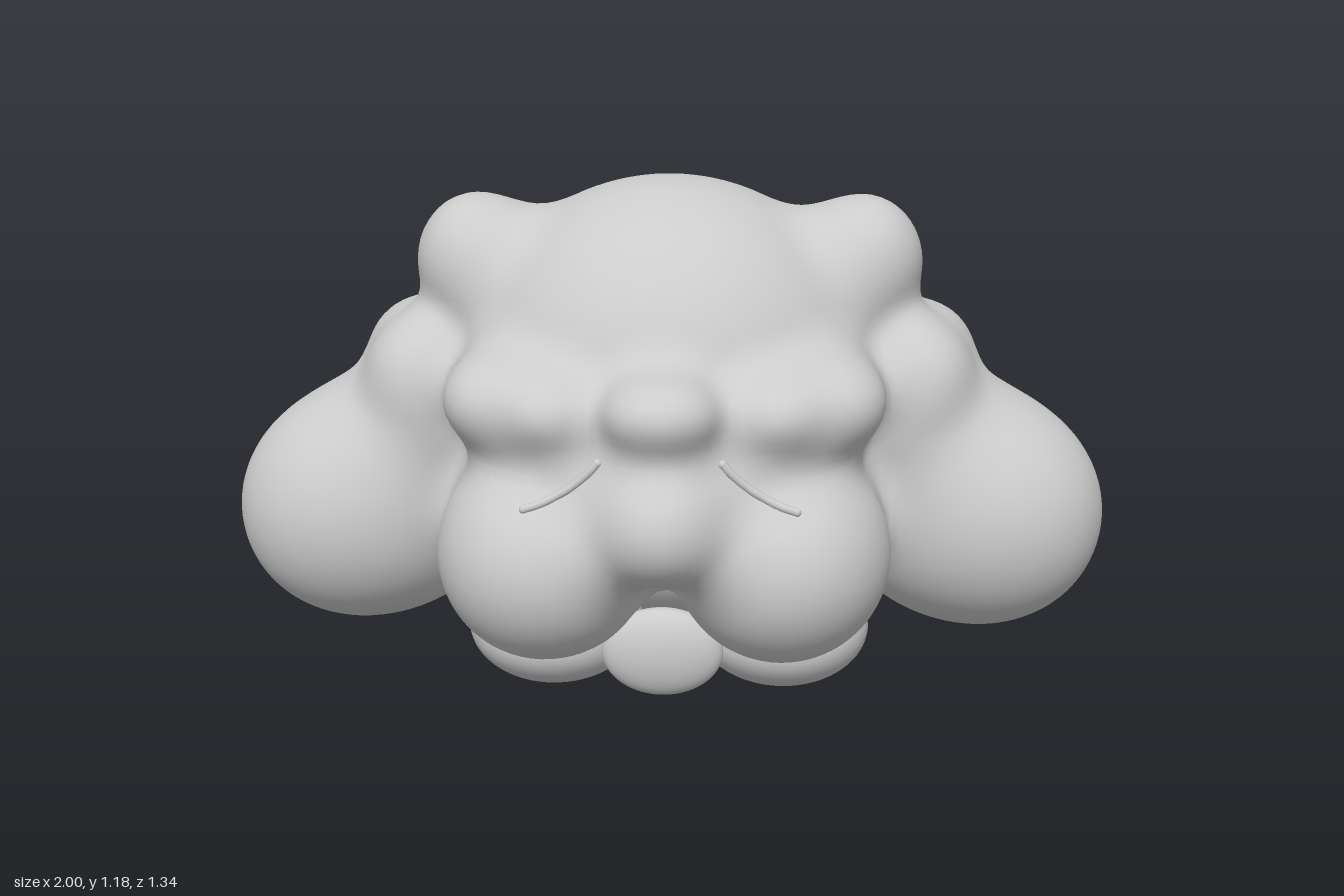
import * as THREE from 'three';

// Soft blobs of the head: centre x, y, z, radii x, y, z, blend width (x > 0 is mirrored)
const HEAD = [
  [0, 0.712, 0, 0.485, 0.468, 0.47, 0.1],        // skull
  [0, 0.69, -0.2, 0.34, 0.345, 0.285, 0.1],      // back of the skull
  [0, 0.715, -0.458, 0.125, 0.165, 0.135, 0.16], // back tuft
  [0.335, 0.74, -0.325, 0.1, 0.1, 0.11, 0.09],   // rear side tufts
  [0.43, 0.99, 0, 0.135, 0.15, 0.155, 0.13],     // top tufts
  [0.545, 0.68, -0.005, 0.16, 0.2, 0.225, 0.1],  // ear roots
  [0.625, 0.43, -0.07, 0.26, 0.26, 0.283, 0.14], // hanging ears, inner and outer half
  [0.74, 0.41, 0.005, 0.26, 0.262, 0.26, 0.12],
  [0.595, 0.775, -0.12, 0.09, 0.085, 0.1, 0.09], // side tufts
  [0.55, 0.765, 0.1, 0.075, 0.075, 0.08, 0.1],
  [0.25, 0.43, 0.34, 0.235, 0.233, 0.275, 0.09], // cheeks
  [0, 0.64, 0.3, 0.36, 0.16, 0.23, 0.1],         // face
  [0, 0.555, 0.555, 0.105, 0.105, 0.11, 0.15],   // nose
  [0, 0.785, 0.52, 0.11, 0.07, 0.105, 0.1],      // brow tufts
  [0.24, 0.765, 0.435, 0.08, 0.07, 0.1, 0.1],
  [0.37, 0.765, 0.34, 0.09, 0.08, 0.12, 0.12],
];
const blobs = HEAD.flatMap((b) => (b[0] ? [b, [-b[0], ...b.slice(1)]] : [b]));

// Signed distance to the smoothly joined blobs
function field(x, y, z) {
  let d = 10;
  for (const [cx, cy, cz, rx, ry, rz, k] of blobs) {
    const a = (x - cx) / rx, b = (y - cy) / ry, c = (z - cz) / rz;
    const k0 = Math.hypot(a, b, c), k1 = Math.hypot(a / rx, b / ry, c / rz);
    const e = k1 < 1e-6 ? -Math.min(rx, ry, rz) : (k0 * (k0 - 1)) / k1;
    const h = Math.max(k - Math.abs(d - e), 0) / k;
    d = Math.min(d, e) - h * h * k * 0.25;
  }
  return d;
}

function gradient(x, y, z) {
  const e = 0.002;
  return new THREE.Vector3(
    field(x + e, y, z) - field(x - e, y, z),
    field(x, y + e, z) - field(x, y - e, z),
    field(x, y, z + e) - field(x, y, z - e)
  ).divideScalar(2 * e);
}

// Skin a field with quads on a regular grid, then pull the points onto the surface
function skin(min, max, step) {
  const n = [0, 1, 2].map((i) => Math.ceil((max[i] - min[i]) / step) + 1);
  const stride = [1, n[0], n[0] * n[1]];
  const values = new Float32Array(n[0] * n[1] * n[2]);
  const at = (i, a) => min[a] + i * step;
  for (let k = 0, p = 0; k < n[2]; k++)
    for (let j = 0; j < n[1]; j++)
      for (let i = 0; i < n[0]; i++) values[p++] = field(at(i, 0), at(j, 1), at(k, 2));

  const ids = new Int32Array(values.length).fill(-1);
  const positions = [], normals = [], index = [];
  const eachCell = (visit) => {
    for (let k = 1; k < n[2] - 1; k++)
      for (let j = 1; j < n[1] - 1; j++)
        for (let i = 1; i < n[0] - 1; i++) visit(i, j, k, i + j * stride[1] + k * stride[2]);
  };
  eachCell((i, j, k, p) => {
    let inside = 0;
    for (let c = 0; c < 8; c++)
      if (values[p + (c & 1) + ((c >> 1) & 1) * stride[1] + (c >> 2) * stride[2]] < 0) inside++;
    if (inside === 0 || inside === 8) return;
    const v = new THREE.Vector3(at(i + 0.5, 0), at(j + 0.5, 1), at(k + 0.5, 2));
    for (let t = 0; t < 4; t++) {
      const g = gradient(v.x, v.y, v.z);
      v.addScaledVector(g, -field(v.x, v.y, v.z) / Math.max(g.lengthSq(), 0.3));
    }
    ids[p] = positions.length / 3;
    positions.push(v.x, v.y, v.z);
    normals.push(...gradient(v.x, v.y, v.z).normalize().toArray());
  });
  eachCell((i, j, k, p) => {
    for (let a = 0; a < 3; a++) {
      const lowIn = values[p] < 0, highIn = values[p + stride[a]] < 0;
      if (lowIn === highIn) continue;
      const b = stride[(a + 1) % 3], c = stride[(a + 2) % 3];
      const q = [ids[p - b - c], ids[p - c], ids[p], ids[p - b]];
      if (q.includes(-1)) continue;
      if (highIn) q.reverse();
      index.push(q[0], q[1], q[2], q[0], q[2], q[3]);
    }
  });
  const geometry = new THREE.BufferGeometry();
  geometry.setAttribute('position', new THREE.Float32BufferAttribute(positions, 3));
  geometry.setAttribute('normal', new THREE.Float32BufferAttribute(normals, 3));
  geometry.setIndex(index);
  return geometry;
}

// Point on the face at a given x and y, found from the front
function onFace(x, y) {
  let z = 0.75;
  while (z > 0 && field(x, y, z) > 0) z -= 0.002;
  return new THREE.Vector3(x, y, z + 0.003);
}

export function createModel() {
  const model = new THREE.Group();
  const grey = new THREE.MeshStandardMaterial({ color: 0xcccccc });
  const add = (name, geometry) => {
    const mesh = new THREE.Mesh(geometry, grey);
    mesh.name = name;
    model.add(mesh);
    return mesh;
  };
  const ellipsoid = (name, center, radii) => {
    const mesh = add(name, new THREE.SphereGeometry(1, 48, 32));
    mesh.position.set(...center);
    mesh.scale.set(...radii);
  };

  // Woolly head with ears, cheeks, nose and tufts
  add('head', skin([-1.08, 0.06, -0.72], [1.08, 1.26, 0.76], 0.022));

  // Body, tail and tongue
  ellipsoid('body', [0, 0.34, -0.13], [0.32, 0.235, 0.27]);
  ellipsoid('tail', [0, 0.3, -0.515], [0.155, 0.158, 0.155]);
  ellipsoid('tongue', [0, 0.225, 0.42], [0.13, 0.1, 0.047]);

  for (const [side, s] of [['left', 1], ['right', -1]]) {
    ellipsoid(side + 'Foot', [s * 0.265, 0.135, 0.045], [0.205, 0.133, 0.213]);

    // Closed eye: a thin line curved over the face
    const line = new THREE.QuadraticBezierCurve(
      new THREE.Vector2(0.125, 0.685), new THREE.Vector2(0.185, 0.61), new THREE.Vector2(0.275, 0.588));
    const path = new THREE.CatmullRomCurve3(line.getPoints(8).map((p) => onFace(s * p.x, p.y)));
    add(side + 'Eye', new THREE.TubeGeometry(path, 32, 0.009, 10));
    for (const t of [0, 1]) ellipsoid(side + 'EyeTip', path.getPoint(t).toArray(), [0.009, 0.009, 0.009]);
  }
  return model;
}
